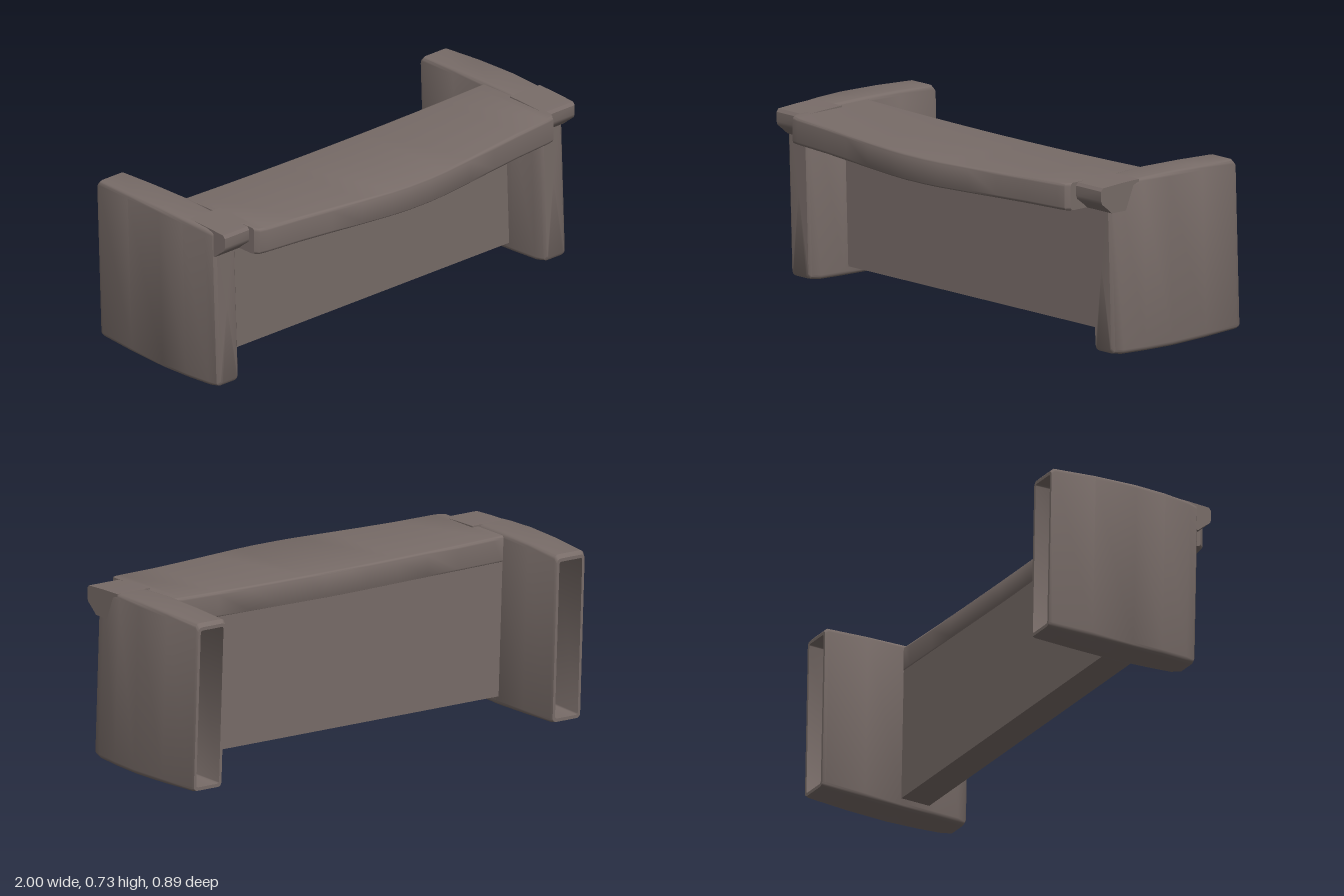
import * as THREE from 'three';
import { toCreasedNormals } from 'three/addons/utils/BufferGeometryUtils.js';

// Points of a rounded rectangle, counter-clockwise
function roundedRect(a0, a1, b0, b1, r) {
  const pts = [];
  const corners = [[a1 - r, b0 + r], [a1 - r, b1 - r], [a0 + r, b1 - r], [a0 + r, b0 + r]];
  corners.forEach(([ca, cb], q) => {
    for (let i = 0; i <= 4; i++) {
      const t = (q - 1 + i / 4) * Math.PI / 2;
      pts.push([ca + r * Math.cos(t), cb + r * Math.sin(t)]);
    }
  });
  return pts;
}

// Skin over rounded rectangles [z, x0, x1, y0, y1, radius], front to back, closed at both ends
function loft(stations) {
  const pos = [], index = [];
  const n = 20, last = stations.length - 1;
  for (const [z, a0, a1, b0, b1, r] of stations) {
    for (const [a, b] of roundedRect(a0, a1, b0, b1, r)) pos.push(a, b, z);
  }
  for (const k of [0, last]) {
    const [z, a0, a1, b0, b1] = stations[k];
    pos.push((a0 + a1) / 2, (b0 + b1) / 2, z);
  }
  const startCentre = (last + 1) * n;
  for (let i = 0; i < n; i++) {
    const j = (i + 1) % n;
    for (let k = 0; k < last; k++) {
      const p = k * n, q = p + n;
      index.push(p + i, q + i, p + j, p + j, q + i, q + j);
    }
    index.push(startCentre, i, j, startCentre + 1, last * n + j, last * n + i);
  }
  const g = new THREE.BufferGeometry();
  g.setAttribute('position', new THREE.Float32BufferAttribute(pos, 3));
  g.setIndex(index);
  return g;
}

// Slight sideways lean of the pedestals
function lean(g) {
  const p = g.attributes.position;
  for (let i = 0; i < p.count; i++) p.setX(i, p.getX(i) + 0.025 * (0.5 - p.getY(i) / 0.72));
  return g;
}

export function createModel() {
  const group = new THREE.Group();
  const wood = new THREE.MeshStandardMaterial({ color: 0x786c68 });
  wood.name = 'greyBrownWood';
  const add = (name, geometry) => {
    const mesh = new THREE.Mesh(toCreasedNormals(geometry, 0.6), wood);
    mesh.name = name;
    group.add(mesh);
  };

  // Pedestals: bowed outer side, open hollow at the back [z, inner, outer, bottom, top, radius]
  const pedestal = [
    [0.25, 0.86, 0.955, 0.025, 0.70, 0.015],
    [0.24, 0.85, 0.968, 0.01, 0.71, 0.02],
    [0.2, 0.838, 0.976, 0.004, 0.716, 0.02],
    [0.08, 0.83, 0.986, 0.002, 0.722, 0.02],
    [-0.06, 0.825, 0.989, 0.0, 0.725, 0.02],
    [-0.25, 0.825, 0.984, 0.003, 0.722, 0.02],
    [-0.435, 0.826, 0.972, 0.008, 0.715, 0.02],
    [-0.45, 0.83, 0.968, 0.012, 0.70, 0.018],
    [-0.45, 0.842, 0.956, 0.026, 0.686, 0.01],
    [-0.25, 0.842, 0.962, 0.026, 0.69, 0.01],
  ];
  for (const [side, s] of [['left', 1], ['right', -1]]) {
    const stations = pedestal.map(([z, a, b, ...rest]) =>
      [z, Math.min(s * a, s * b), Math.max(s * a, s * b), ...rest]);
    add(side + 'Pedestal', lean(loft(stations)));

    // Lip of the top overhanging the pedestal front
    const profile = new THREE.Shape([
      [0.1, 0.6], [0.25, 0.6], [0.27, 0.618], [0.305, 0.645], [0.31, 0.66],
      [0.31, 0.70], [0.3, 0.713], [0.2, 0.7185], [0.1, 0.721],
    ].map(([z, y]) => new THREE.Vector2(z, y)));
    const lip = new THREE.ExtrudeGeometry(profile, { depth: 0.165, bevelEnabled: false });
    lip.rotateY(-Math.PI / 2);
    lip.translate(s > 0 ? 0.97 : -0.81, 0, 0);
    add(side + 'Lip', lip);
  }

  // Desk top with a bowed front, sections running across the width
  const half = [
    [0.83, 0.34], [0.815, 0.36], [0.78, 0.366], [0.6, 0.381], [0.45, 0.4],
    [0.3, 0.42], [0.15, 0.438], [0.06, 0.444],
  ];
  const section = (x, z) => [x, -0.08, z, 0.591 + 0.011 * Math.abs(x), 0.704 + 0.016 * x * x, 0.014];
  const top = loft([
    ...half.map(([x, z]) => section(x, z)),
    ...half.slice().reverse().map(([x, z]) => section(-x, z)),
  ]);
  top.rotateY(-Math.PI / 2);
  top.translate(-0.01, 0, 0);
  add('deskTop', top);

  // Panel between the pedestals
  const panel = new THREE.BoxGeometry(1.68, 0.58, 0.135);
  panel.translate(0, 0.33, -0.0105);
  add('frontPanel', panel);

  return group;
}
